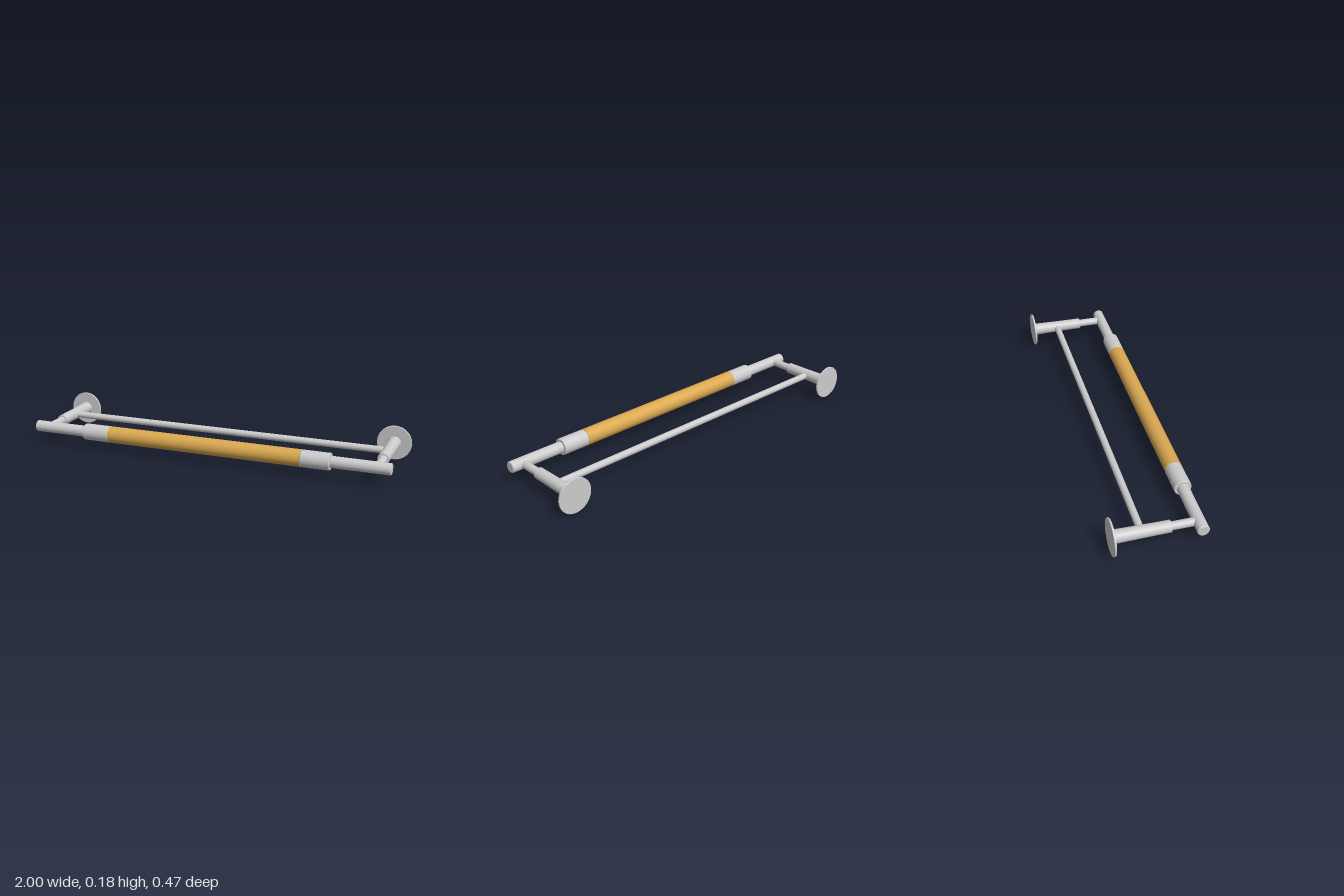
import * as THREE from 'three';

const Y = 0.092;      // height of every axis
const ARM_X = 0.909;  // wall arm offset
const BAR_Z = 0.191;  // front bar depth

const metal = new THREE.MeshStandardMaterial({ color: 0xcccccc });
const wood = new THREE.MeshStandardMaterial({ color: 0xdaa850 });

// Turned part from [radius, position] points; corners are doubled to stay crisp
function turned(name, points, axis, material = metal) {
  const group = new THREE.Group();
  group.name = name;
  for (let i = 0; i < points.length - 1; i++) {
    const pair = [points[i], points[i + 1]].map(([r, h]) => new THREE.Vector2(r, h));
    const mesh = new THREE.Mesh(new THREE.LatheGeometry(pair, 48), material);
    mesh.name = name + 'Surface';
    group.add(mesh);
  }
  if (axis === 'x') group.rotation.z = -Math.PI / 2;
  if (axis === 'z') group.rotation.x = Math.PI / 2;
  return group;
}

// Closed rod with small chamfers at both ends
function rod(name, radius, from, to, axis, chamfer = 0.003, material = metal) {
  return turned(name, [
    [0, from], [radius - chamfer, from], [radius, from + chamfer],
    [radius, to - chamfer], [radius - chamfer, to], [0, to],
  ], axis, material);
}

export function createModel() {
  const model = new THREE.Group();
  model.name = 'doubleTowelRail';
  const add = (part, x, z) => {
    part.position.set(x, Y, z);
    model.add(part);
  };

  // Front bar with wooden grip, and thin rear rail
  add(rod('frontBar', 0.03, -0.98, 0.98, 'x', 0.004), 0, BAR_Z);
  const grip = new THREE.Mesh(new THREE.CylinderGeometry(0.044, 0.044, 1.06, 48), wood);
  grip.name = 'woodenGrip';
  grip.rotation.z = -Math.PI / 2;
  add(grip, 0, BAR_Z);
  const rail = new THREE.Mesh(new THREE.CylinderGeometry(0.018, 0.018, 1.78, 32), metal);
  rail.name = 'rearRail';
  rail.rotation.z = -Math.PI / 2;
  add(rail, 0, -0.085);

  for (const [side, s] of [['left', 1], ['right', -1]]) {
    // Metal sleeve at each end of the grip
    const ends = s > 0 ? [0.53, 0.68] : [-0.68, -0.53];
    add(rod(side + 'Sleeve', 0.044, ...ends, 'x'), 0, BAR_Z);

    // Wall plate, tapered arm and thin neck
    add(rod(side + 'WallPlate', 0.091, -0.233, -0.223, 'z', 0.0015), s * ARM_X, 0);
    add(turned(side + 'Arm', [
      [0.035, -0.224], [0.0335, -0.21], [0.032, -0.14], [0.0305, -0.04],
      [0.03, 0.035], [0.03, 0.052], [0.028, 0.055], [0, 0.055],
    ], 'z'), s * ARM_X, 0);
    add(rod(side + 'Neck', 0.021, 0.04, 0.18, 'z'), s * ARM_X, 0);
  }
  return model;
}
